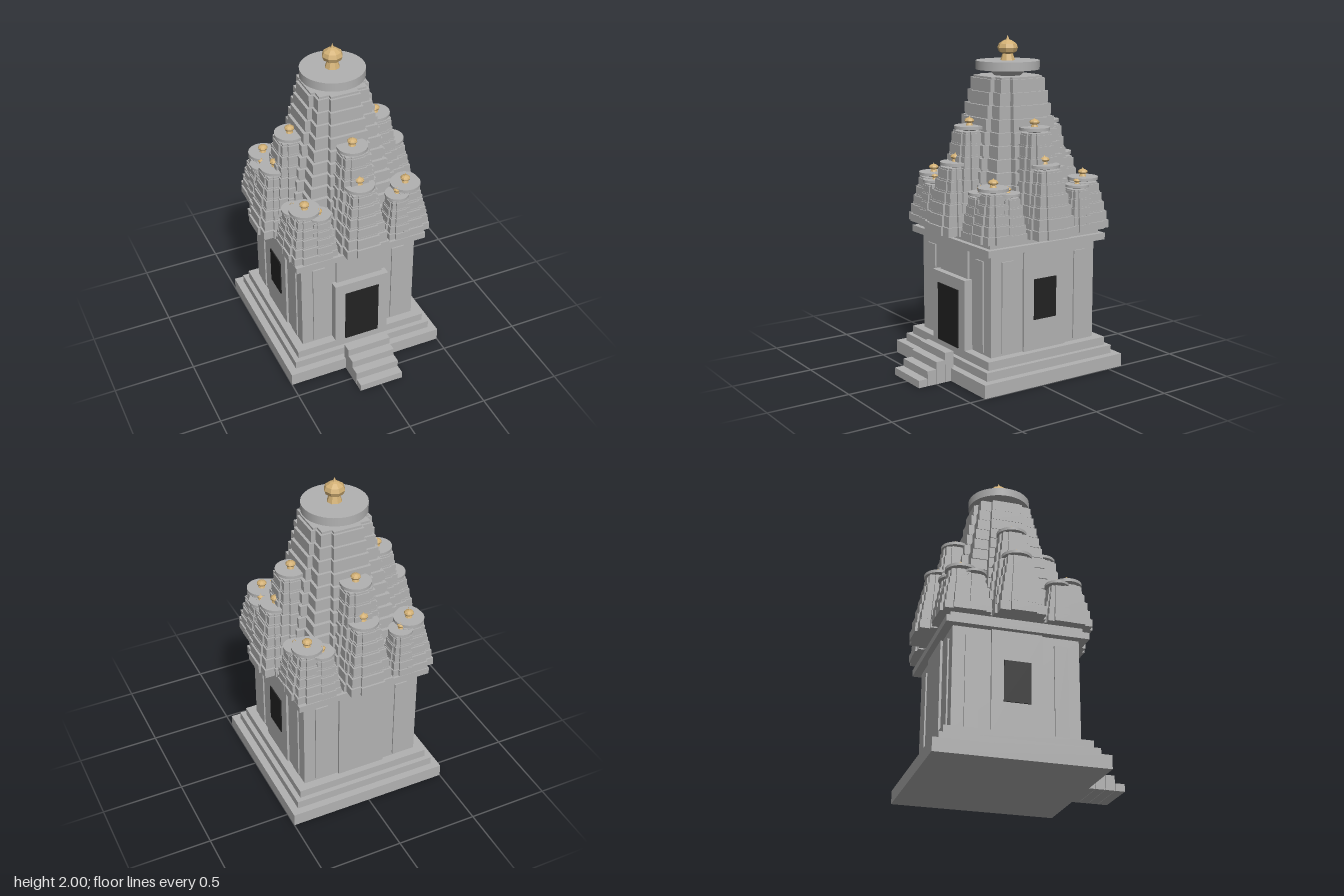
import * as THREE from 'three';

const stone = new THREE.MeshStandardMaterial({ name: 'stone', color: 0xb2b2b2 });
const gold = new THREE.MeshStandardMaterial({ name: 'gold', color: 0xd2b075, flatShading: true });
const dark = new THREE.MeshStandardMaterial({ name: 'darkOpening', color: 0x222222 });

function add(parent, name, geometry, material, x = 0, y = 0, z = 0) {
  const mesh = new THREE.Mesh(geometry, material);
  mesh.name = name;
  mesh.position.set(x, y, z);
  parent.add(mesh);
  return mesh;
}

// Box given by its width, depth and bottom / top heights
function slab(parent, name, w, d, y0, y1, x = 0, z = 0, material = stone) {
  return add(parent, name, new THREE.BoxGeometry(w, y1 - y0, d), material, x, (y0 + y1) / 2, z);
}

// Eight-sided pot finial, profile in units of its bulb radius
function finial(parent, r, h, x, y, z) {
  const profile = [[0, 0], [0.72, 0], [0.5, 0.26], [0.85, 0.34], [1, 0.5], [0.85, 0.66],
    [0.42, 0.78], [0.16, 0.82], [0, 1]].map(([a, b]) => new THREE.Vector2(a * r, b * h));
  add(parent, 'finial', new THREE.LatheGeometry(profile, 8), gold, x, y, z);
}

// Stepped spire: each tier is a square core with a projecting bay on all four sides
function spire(parent, name, s) {
  const group = new THREE.Group();
  group.name = name;
  group.position.set(s.x, 0, s.z);
  const y0 = 0.865, pitch = (s.top - y0) / s.tiers;
  for (let i = 0; i < s.tiers; i++) {
    const t = i / (s.tiers - 1);
    const reach = 2 * (s.base + (s.tip - s.base) * Math.pow(t, 1.1));
    const core = reach * s.core, bay = reach * 0.5;
    const a = y0 + i * pitch, b = a + pitch * 0.84;
    slab(group, 'tierCore', core, core, a, b);
    slab(group, 'tierBayX', reach, bay, a, b);
    slab(group, 'tierBayZ', bay, reach, a, b);
    // recessed joint below the next tier
    slab(group, 'tierJoint', core * 0.92, core * 0.92, b, a + pitch);
    slab(group, 'tierJointX', reach * 0.92, bay * 0.92, b, a + pitch);
    slab(group, 'tierJointZ', bay * 0.92, reach * 0.92, b, a + pitch);
  }
  add(group, 'neck', new THREE.CylinderGeometry(s.disc * 0.6, s.disc * 0.42, s.neck, 24), stone, 0, s.top + s.neck / 2, 0);
  const discY = s.top + s.neck;
  add(group, 'capDisc', new THREE.CylinderGeometry(s.disc, s.disc, s.thick, 40), stone, 0, discY + s.thick / 2, 0);
  finial(group, s.bulb, s.bulbHeight, 0, discY + s.thick, 0);
  parent.add(group);
}

export function createModel() {
  const model = new THREE.Group();
  model.name = 'temple';
  const body = new THREE.Group();
  body.name = 'shrine';
  body.position.z = -0.1;
  model.add(body);

  // Plinth, wall core and cornice
  [['plinthLow', 0.5, 0, 0.08], ['plinthMiddle', 0.455, 0.08, 0.13], ['plinthHigh', 0.425, 0.13, 0.18],
    ['wallCore', 0.372, 0.18, 0.79], ['cornice', 0.42, 0.79, 0.83], ['upperCornice', 0.39, 0.83, 0.866]]
    .forEach(([name, half, a, b]) => slab(body, name, half * 2, half * 2, a, b));

  // Projecting bay and pilasters on each wall
  for (let i = 0; i < 4; i++) {
    const wall = new THREE.Group();
    wall.name = 'wallRelief';
    wall.rotation.y = i * Math.PI / 2;
    slab(wall, 'wallBay', 0.3, 0.04, 0.18, 0.79, 0, 0.366);
    for (const side of [-1, 1]) slab(wall, 'pilaster', 0.08, 0.03, 0.195, 0.74, side * 0.26, 0.366);
    body.add(wall);
  }

  // Side windows
  for (const side of [-1, 1]) slab(body, 'window', 0.008, 0.158, 0.365, 0.61, side * 0.389, 0, dark);

  // Doorway
  slab(body, 'doorFrame', 0.35, 0.06, 0.18, 0.605, 0, 0.395);
  slab(body, 'door', 0.22, 0.008, 0.18, 0.535, 0, 0.428, dark);

  // Entrance steps
  for (let i = 0; i < 4; i++) {
    slab(model, 'step', 0.28, 0.057, 0, 0.18 - i * 0.045, 0, 0.41 + i * 0.06);
  }

  // Main tower
  spire(body, 'mainSpire', { x: 0, z: 0, tiers: 12, top: 1.765, base: 0.345, tip: 0.187, core: 0.85,
    neck: 0.035, disc: 0.19, thick: 0.052, bulb: 0.062, bulbHeight: 0.148 });

  // Two attached spires stepping out on each side
  const half = { tiers: 9, top: 1.455, base: 0.17, tip: 0.087, core: 0.87,
    neck: 0.012, disc: 0.09, thick: 0.018, bulb: 0.03, bulbHeight: 0.055 };
  const outer = { ...half, tiers: 6, top: 1.25, base: 0.15, tip: 0.083, core: 0.9 };
  for (const [dx, dz] of [[1, 0], [-1, 0], [0, 1], [0, -1]]) {
    spire(body, 'innerSideSpire', { ...half, x: dx * 0.272, z: dz * 0.272 });
    spire(body, 'outerSideSpire', { ...outer, x: dx * 0.37, z: dz * 0.37 });
  }

  // Cluster of three small spires on each corner
  const corner = { ...half, tiers: 5, top: 1.14, base: 0.13, tip: 0.08 };
  const small = { ...corner, top: 1.11, base: 0.095, tip: 0.06, disc: 0.072, thick: 0.015, bulb: 0.022, bulbHeight: 0.04 };
  for (const sx of [-1, 1]) for (const sz of [-1, 1]) {
    spire(body, 'cornerSpire', { ...corner, x: sx * 0.322, z: sz * 0.322 });
    spire(body, 'smallCornerSpire', { ...small, x: sx * 0.25, z: sz * 0.36 });
    spire(body, 'smallCornerSpire', { ...small, x: sx * 0.36, z: sz * 0.25 });
  }
  return model;
}
